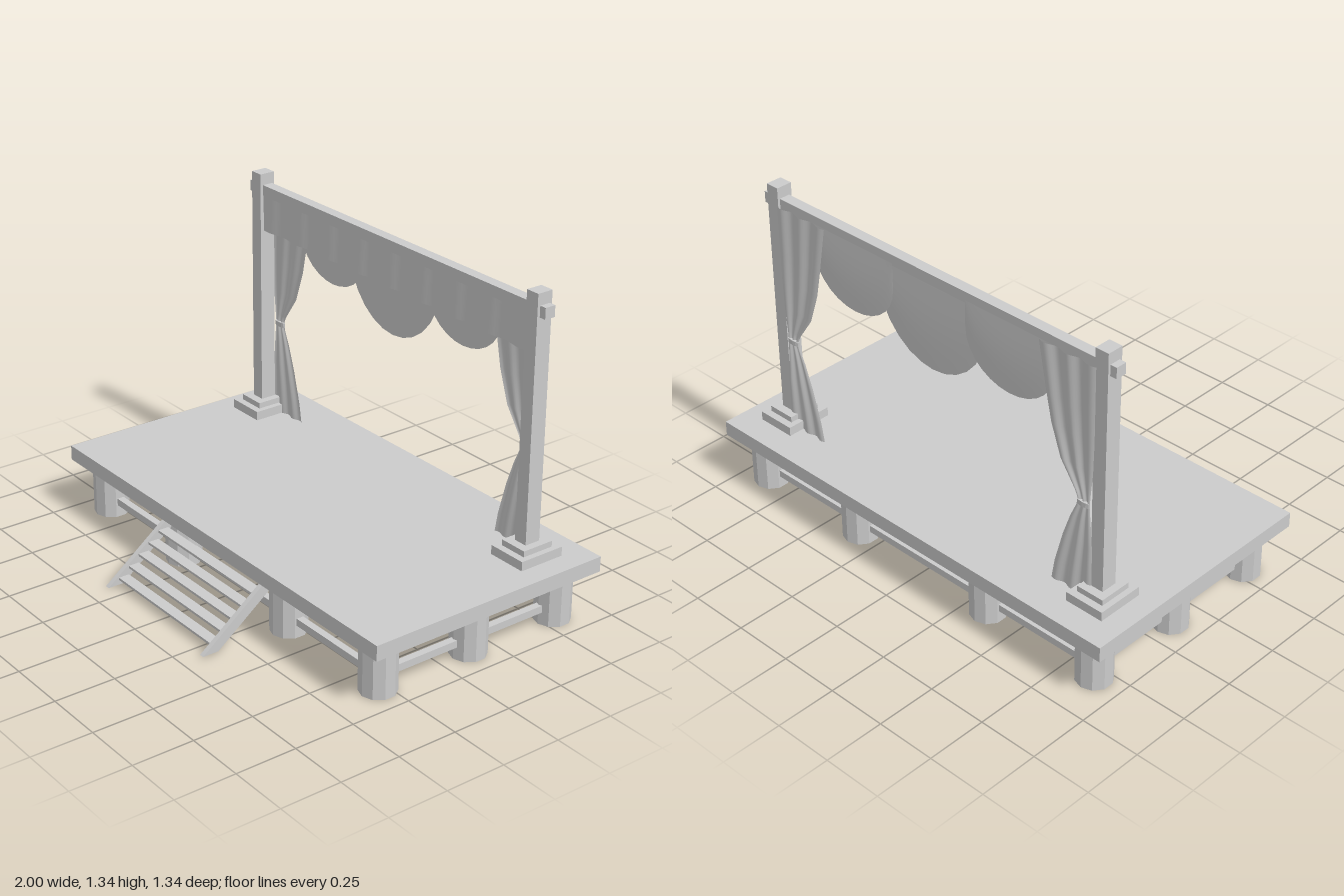
import * as THREE from 'three';

const mat = new THREE.MeshStandardMaterial({ color: 0xcccccc, flatShading: true });
const cloth = new THREE.MeshStandardMaterial({ color: 0xcccccc, side: THREE.DoubleSide });

export function createModel() {
  const model = new THREE.Group();
  const add = (name, geo, x = 0, y = 0, z = 0, m = mat) => {
    const mesh = new THREE.Mesh(geo, m);
    mesh.name = name;
    mesh.position.set(x, y, z);
    model.add(mesh);
    return mesh;
  };
  // Box given by its limits on each axis
  const box = (name, x0, x1, y0, y1, z0, z1) =>
    add(name, new THREE.BoxGeometry(x1 - x0, y1 - y0, z1 - z0), (x0 + x1) / 2, (y0 + y1) / 2, (z0 + z1) / 2);
  // Cloth sheet: f(u, v) returns [x, y, z] for u, v in 0..1
  const sheet = (name, nu, nv, f) => {
    const geo = new THREE.PlaneGeometry(1, 1, nu, nv);
    const p = geo.attributes.position;
    for (let i = 0; i < p.count; i++) p.setXYZ(i, ...f(p.getX(i) + 0.5, p.getY(i) + 0.5));
    geo.computeVertexNormals();
    return add(name, geo, 0, 0, 0, cloth);
  };

  // Stage floor
  box('platform', -1, 1, 0.215, 0.278, -0.67, 0.4);

  // Round stumps around the edge
  const xs = [-0.877, -0.347, 0.347, 0.877], zs = [-0.555, -0.135, 0.29];
  const stump = new THREE.CylinderGeometry(0.073, 0.073, 0.215, 10);
  for (const x of xs) for (const z of zs) {
    if (z === zs[1] && Math.abs(x) < 0.5) continue;
    add('supportPost', stump, x, 0.1075, z);
  }

  // Double rails between the stumps
  for (const y of [0.052, 0.149]) {
    for (const z of [zs[0], zs[2]])
      for (let i = 0; i < 3; i++) box('longRail', xs[i] + 0.06, xs[i + 1] - 0.06, y, y + 0.03, z - 0.015, z + 0.015);
    for (const x of [xs[0], xs[3]])
      for (let i = 0; i < 2; i++) box('sideRail', x - 0.015, x + 0.015, y, y + 0.03, zs[i] + 0.06, zs[i + 1] - 0.06);
  }

  // Front steps: two sloping stringers and thin treads
  const outline = new THREE.Shape([[0.668, 0.008], [0.4, 0.215], [0.355, 0.195], [0.6, 0.008]]
    .map(([z, y]) => new THREE.Vector2(-z, y)));
  for (const x of [-0.33, 0.31]) {
    const geo = new THREE.ExtrudeGeometry(outline, { depth: 0.02, bevelEnabled: false });
    add('stairStringer', geo, x).rotation.y = Math.PI / 2;
  }
  for (let i = 0; i < 5; i++) {
    const z = 0.597 - i * 0.047, y = 0.033 + i * 0.037;
    box('stairTread', -0.312, 0.312, y - 0.005, y + 0.005, z - 0.023, z + 0.023);
  }

  // Uprights on stepped plinths
  for (const s of [-1, 1]) {
    const x = s * 0.823, z = -0.458;
    box('plinthBase', x - 0.084, x + 0.084, 0.278, 0.316, z - 0.1, z + 0.1);
    box('plinthCap', x - 0.06, x + 0.06, 0.316, 0.34, z - 0.07, z + 0.07);
    box('upright', x - 0.029, x + 0.029, 0.34, 1.337, z - 0.034, z + 0.034);
  }
  box('crossbeam', -0.88, 0.88, 1.245, 1.29, -0.482, -0.436);

  // Pleated valance hanging below the beam
  sheet('valance', 96, 1, (u, v) => {
    const x = (u - 0.5) * 1.59;
    return [x, 1.095 + v * 0.152, -0.442 + 0.006 * Math.cos(x * Math.PI / 0.095)];
  });

  // Scalloped swags: straight top, rounded bottom
  const swag = (name, cx, half, top, side, drop, z) => sheet(name, 14, 6, (u, v) => {
    const a = Math.PI * (1 - u), t = Math.sin(a);
    const low = side - drop * t;
    return [cx + half * Math.cos(a), low + (top - low) * v, z - 0.004 * t * Math.sin(v * Math.PI)];
  });
  swag('centreSwag', 0, 0.28, 1.245, 1.2, 0.315, -0.476);
  for (const s of [-1, 1]) swag('sideSwag', s * 0.395, 0.212, 1.26, 1.15, 0.18, -0.488);

  // Curtains gathered at a tie: inner edge as [y, x]
  const inner = [[0.278, 0.608], [0.36, 0.622], [0.5, 0.66], [0.6, 0.695], [0.66, 0.722], [0.69, 0.728],
    [0.72, 0.715], [0.82, 0.645], [0.95, 0.6], [1.06, 0.577], [1.26, 0.54]];
  for (const s of [-1, 1]) {
    sheet('curtain', 24, inner.length - 1, (u, v) => {
      const [y, xi] = inner[Math.round(v * (inner.length - 1))];
      const pinch = Math.exp(-(((y - 0.68) / 0.12) ** 2));
      const xo = 0.8 - 0.015 * pinch;
      const z = -0.493 - 0.006 * Math.sin(u * Math.PI * 5) * (1 - 0.4 * pinch);
      return [s * (xi + (xo - xi) * u), y, z];
    });
    // Tie band around the gathered cloth
    const tie = add('curtainTie', new THREE.CylinderGeometry(0.031, 0.031, 0.02, 12), s * 0.755, 0.681, -0.493);
    tie.scale.z = 0.3;
  }
  return model;
}
